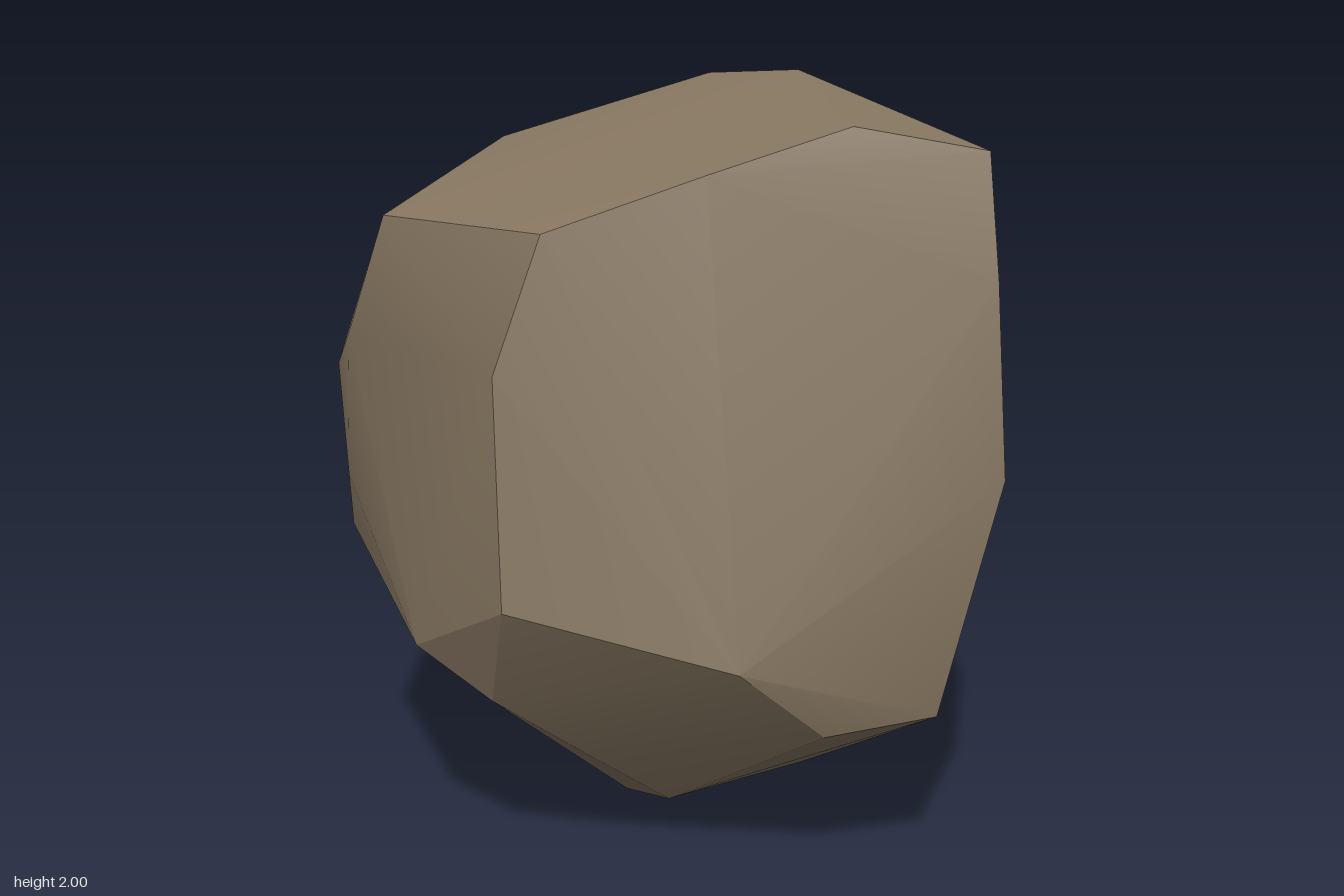
import * as THREE from 'three';
import { ConvexGeometry } from 'three/addons/geometries/ConvexGeometry.js';
import { toCreasedNormals } from 'three/addons/utils/BufferGeometryUtils.js';

// Ridge points of the boulder, grouped by region: [x, y, z]
const crown = [
  [0.31, 1.99, -0.2], [0.24, 2, 0.15], [-0.2, 1.87, 0.6], [-0.5, 1.76, 0.38],
  [-0.8, 1.63, 0.12], [-0.73, 1.64, -0.47], [-0.04, 1.81, -0.68], [0.58, 1.8, -0.24],
];
const front = [
  [0.03, 1.81, 0.85], [-0.02, 1.5, 0.91], [-0.07, 1.02, 0.97], [-0.2, 0.43, 0.87],
  [0.64, 1.45, 0.57], [0.66, 0.81, 0.57], [-0.64, 0.6, 0.58], [-0.42, 0.4, 0.68],
];
const leftSide = [
  [0.71, 1.6, -0.26], [0.84, 1.35, -0.22], [0.91, 1.05, -0.22], [0.94, 0.67, -0.28],
  [0.84, 0.42, 0.07], [0.75, 0.6, 0.33], [0.79, 0.55, -0.47], [0.63, 0.36, -0.62],
];
const rightSide = [
  [-0.9, 1.3, 0.05], [-0.94, 0.74, 0.1], [-0.83, 0.46, -0.04],
  [-0.84, 0.56, -0.29], [-0.67, 0.92, -0.7], [-0.7, 1.31, -0.65],
];
const back = [
  [0.28, 1.47, -0.85], [0.53, 1.53, -0.6], [0.3, 1.05, -0.83], [0.17, 0.41, -0.78],
  [-0.01, 1.62, -0.87], [-0.38, 1.16, -0.96], [-0.36, 0.93, -0.97],
  [-0.6, 1.21, -0.8], [-0.55, 0.74, -0.82],
];
const base = [
  [0.25, 0, 0.18], [0.65, 0.17, 0.02], [0.45, 0.08, 0.1], [0, 0.03, 0.1],
  [-0.32, 0.06, -0.02], [-0.42, 0.12, 0.2], [-0.62, 0.28, 0.1],
];

export function createModel() {
  const group = new THREE.Group();
  group.name = 'rock';

  // Faceted boulder: broad facets shaded softly, ridges between them kept sharp
  const points = [crown, front, leftSide, rightSide, back, base]
    .flat().map((p) => new THREE.Vector3(...p));
  const geometry = toCreasedNormals(new ConvexGeometry(points), 0.34);
  const boulder = new THREE.Mesh(
    geometry,
    new THREE.MeshStandardMaterial({ color: 0x857560 })
  );
  boulder.name = 'boulder';
  group.add(boulder);
  return group;
}
